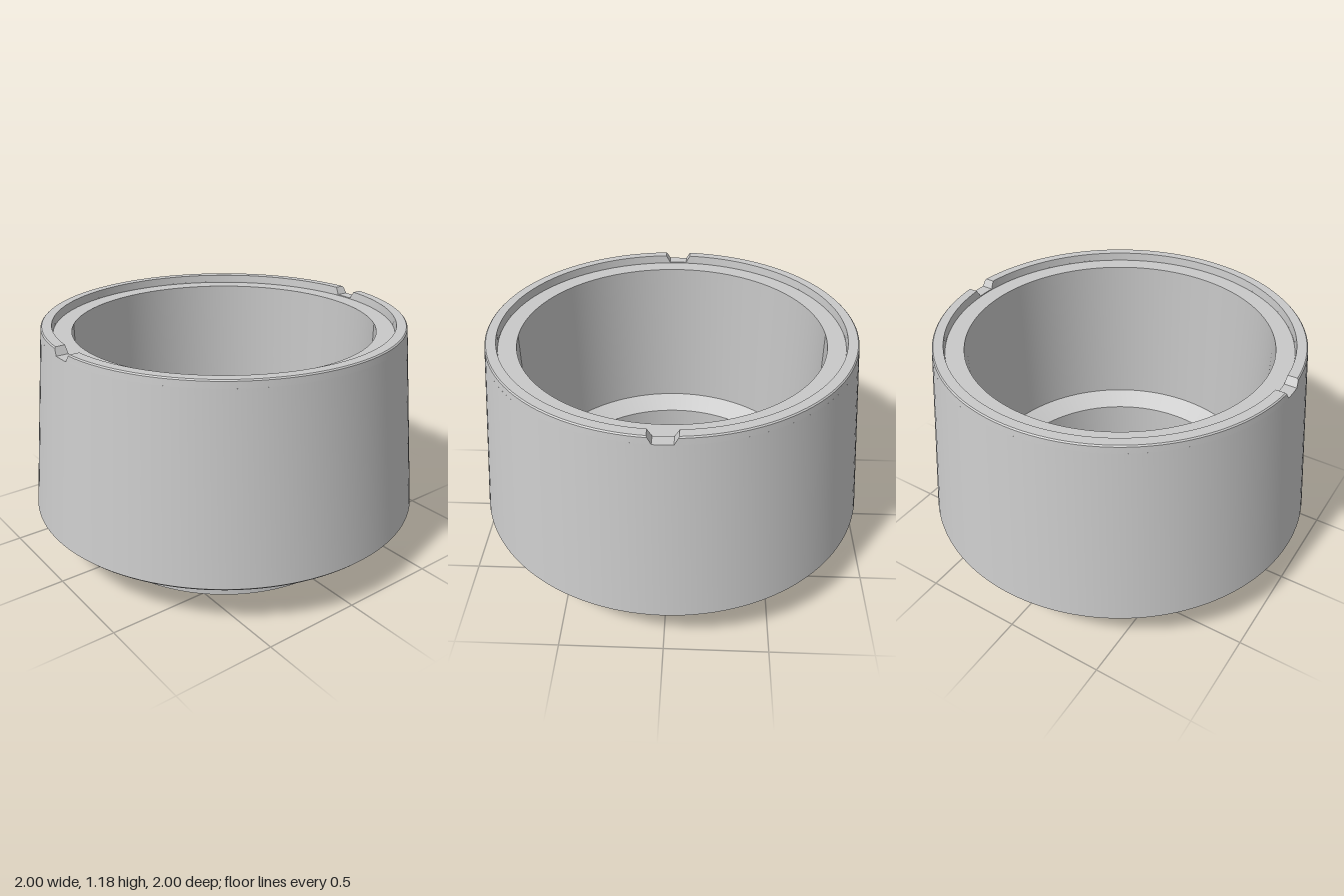
import * as THREE from 'three';
import { toCreasedNormals } from 'three/addons/utils/BufferGeometryUtils.js';

const SEGMENTS = 128;
const CREASE = 0.08;
const NOTCH_FLOOR = 1.14;
const LEDGE = 1.135; // ledge inside the rim, just below the notch floors

// Half of the raised rim: a section swept around, ending at the slanted notch sides
function rimHalfGeometry(section) {
  const steps = SEGMENTS / 2;
  const n = section.length;
  const positions = [];
  const index = [];
  for (let i = 0; i <= steps; i++) {
    for (const [r, y] of section) {
      const halfNotch = 0.046 + (y - NOTCH_FLOOR) * 0.58;
      const start = Math.asin(halfNotch / r);
      const a = start + (Math.PI - 2 * start) * (i / steps);
      positions.push(r * Math.sin(a), y, r * Math.cos(a));
    }
  }
  for (let i = 0; i < steps; i++) {
    for (let j = 0; j < n - 1; j++) {
      const a = i * n + j;
      const b = a + n;
      index.push(a, b, b + 1, a, b + 1, a + 1);
    }
  }
  // Notch side faces
  const last = steps * n;
  for (let j = 1; j < n - 1; j++) {
    index.push(0, j, j + 1);
    index.push(last, last + j + 1, last + j);
  }
  const geometry = new THREE.BufferGeometry();
  geometry.setAttribute('position', new THREE.Float32BufferAttribute(positions, 3));
  geometry.setIndex(index);
  return toCreasedNormals(geometry, CREASE);
}

export function createModel() {
  const group = new THREE.Group();
  group.name = 'taperedCollar';
  const metal = new THREE.MeshStandardMaterial({ color: 0xc9c9c9 });
  metal.name = 'grey metal';

  // Neck, flange, tapered wall, ledge, straight bore and sloped inner shoulder
  const profile = [
    [0.657, 0], [0.715, 0], [0.715, 0.22], [0.988, 0.22], [1, 0.232],
    [0.9085, NOTCH_FLOOR], [0.848, NOTCH_FLOOR], [0.848, LEDGE], [0.758, LEDGE],
    [0.758, 0.291], [0.657, 0.233], [0.657, 0],
  ].map(([r, y]) => new THREE.Vector2(r, y));
  const body = new THREE.Mesh(
    toCreasedNormals(new THREE.LatheGeometry(profile, SEGMENTS), CREASE), metal);
  body.name = 'body';
  group.add(body);

  // Raised rim, split by a notch at the front and the back
  const rim = rimHalfGeometry([
    [0.9085, NOTCH_FLOOR], [0.905, 1.171], [0.899, 1.177], [0.852, 1.177], [0.848, NOTCH_FLOOR],
  ]);
  ['leftRim', 'rightRim'].forEach((name, i) => {
    const mesh = new THREE.Mesh(rim, metal);
    mesh.name = name;
    mesh.rotation.y = i * Math.PI;
    group.add(mesh);
  });

  return group;
}
